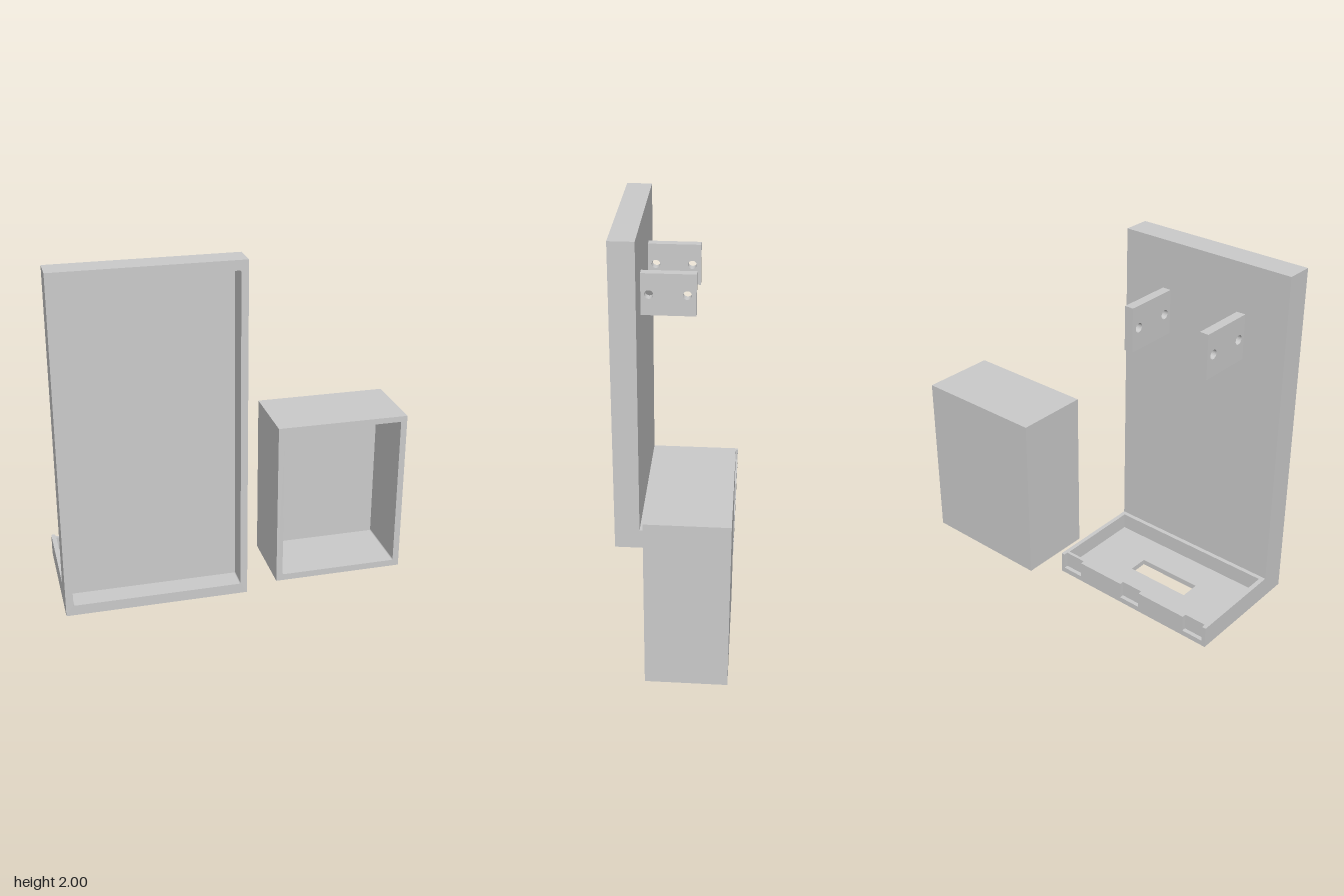
import * as THREE from 'three';

const material = new THREE.MeshStandardMaterial({ color: 0xcccccc });

// Rectangle outline, with slightly rounded corners when r > 0
function rect(Type, x0, x1, y0, y1, r = 0) {
  const p = new Type();
  if (!r) {
    return p.setFromPoints([[x0, y0], [x1, y0], [x1, y1], [x0, y1]].map(([x, y]) => new THREE.Vector2(x, y)));
  }
  p.absarc(x1 - r, y0 + r, r, -Math.PI / 2, 0);
  p.absarc(x1 - r, y1 - r, r, 0, Math.PI / 2);
  p.absarc(x0 + r, y1 - r, r, Math.PI / 2, Math.PI);
  p.absarc(x0 + r, y0 + r, r, Math.PI, Math.PI * 1.5);
  p.closePath();
  return p;
}

function extrude(shape, depth) {
  return new THREE.ExtrudeGeometry(shape, { depth, bevelEnabled: false, curveSegments: 12 });
}

function add(parent, name, geometry) {
  const mesh = new THREE.Mesh(geometry, material);
  mesh.name = name;
  parent.add(mesh);
  return mesh;
}

// Open-fronted tray: a frame around a recess, closed by a back plate
function tray(name, outer, inner, z0, z1, back) {
  const group = new THREE.Group();
  group.name = name;
  const frame = rect(THREE.Shape, ...outer);
  frame.holes.push(rect(THREE.Path, ...inner, 0.008));
  add(group, name + 'Frame', extrude(frame, z1 - z0 - back)).position.z = z0 + back;
  add(group, name + 'Back', extrude(rect(THREE.Shape, ...outer), back)).position.z = z0;
  return group;
}

// Shallow ledge behind the panel, drawn flat as (x, -z) and laid down
function ledge() {
  const group = new THREE.Group();
  group.name = 'ledge';
  const x0 = -0.995, x1 = -0.005, front = -0.2, rear = 0.345;
  const bottom = 0.125, floor = 0.03, height = 0.12;

  // Floor plate with a slot
  const plate = rect(THREE.Shape, x0, x1, front, rear);
  plate.holes.push(rect(THREE.Path, -0.68, -0.317, 0, 0.107));
  const floorGeometry = extrude(plate, floor).rotateX(-Math.PI / 2);
  add(group, 'ledgeFloor', floorGeometry).position.y = bottom;

  // Rim with three notches along its rear face
  const rim = new THREE.Shape();
  rim.moveTo(x0, front);
  rim.lineTo(x1, front);
  rim.lineTo(x1, rear);
  for (const [a, b] of [[-0.025, -0.148], [-0.43, -0.555], [-0.85, -0.973]]) {
    rim.lineTo(a, rear);
    rim.lineTo(a, rear - 0.023);
    rim.lineTo(b, rear - 0.023);
    rim.lineTo(b, rear);
  }
  rim.lineTo(x0, rear);
  rim.closePath();
  rim.holes.push(rect(THREE.Path, -0.97, -0.028, -0.176, 0.305));
  const rimGeometry = extrude(rim, height - floor).rotateX(-Math.PI / 2);
  add(group, 'ledgeRim', rimGeometry).position.y = bottom + floor;
  return group;
}

// Mounting tab with two holes, drawn in (-z, y) and turned to face sideways
function mountingTab(x) {
  const shape = rect(THREE.Shape, -0.2, 0.105, 1.495, 1.738);
  for (const u of [-0.155, 0.055]) {
    shape.holes.push(new THREE.Path().absarc(u, 1.616, 0.025, 0, Math.PI * 2));
  }
  const mesh = new THREE.Mesh(extrude(shape, 0.05).rotateY(Math.PI / 2), material);
  mesh.name = 'mountingTab';
  mesh.position.x = x;
  return mesh;
}

export function createModel() {
  const model = new THREE.Group();
  model.name = 'trayAndBox';

  // Stand: tall tray, rear ledge and two tabs
  const stand = new THREE.Group();
  stand.name = 'stand';
  stand.add(tray('panel', [-0.995, -0.005, 0.125, 2], [-0.955, -0.043, 0.183, 1.947], 0.2, 0.345, 0.022));
  stand.add(ledge());
  for (const x of [-0.755, -0.295]) stand.add(mountingTab(x));
  model.add(stand);

  // Separate open-fronted box
  model.add(tray('box', [0.242, 0.993, 0, 0.96], [0.278, 0.957, 0.038, 0.927], -0.345, 0.077, 0.045));
  return model;
}
